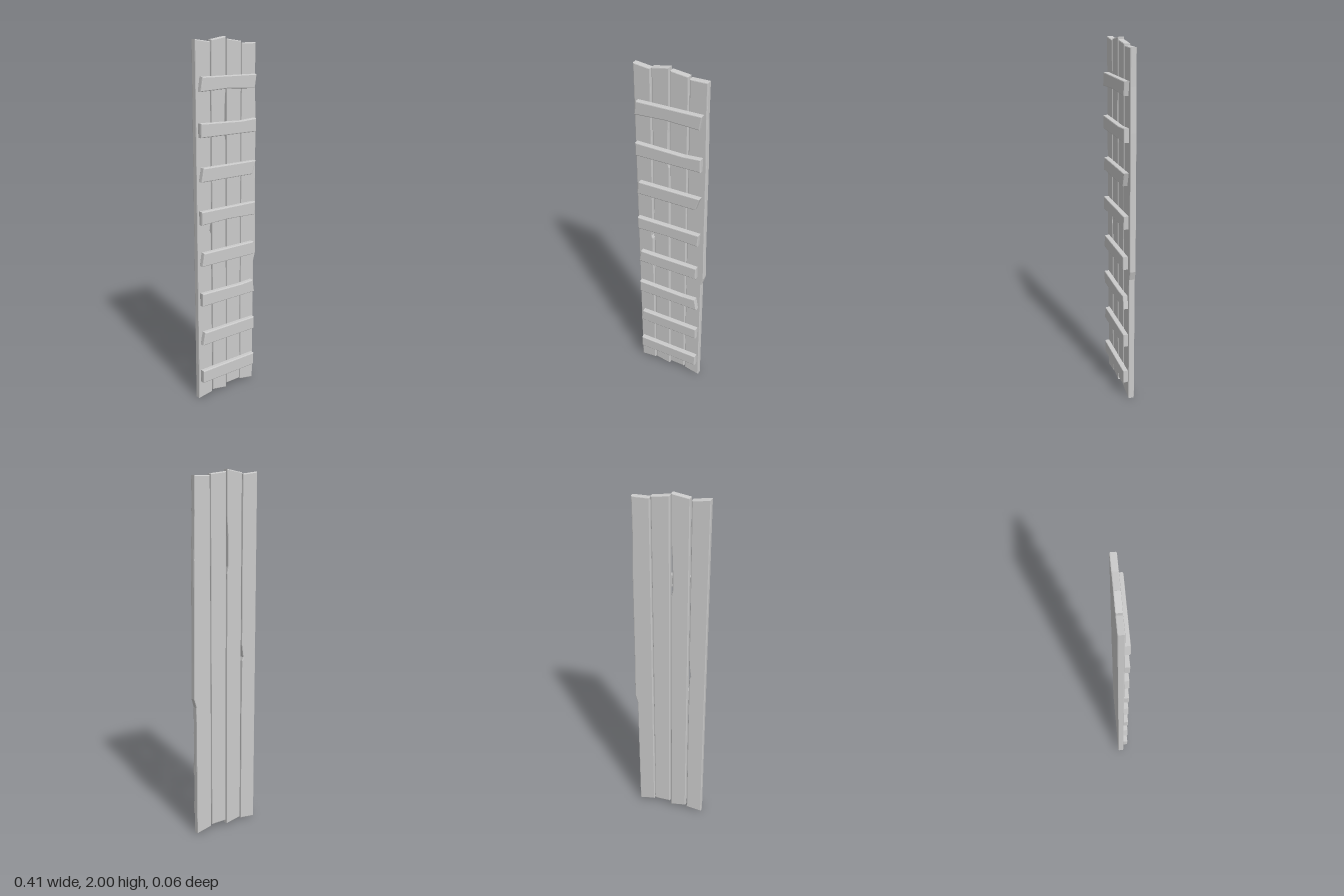
import * as THREE from 'three';

const material = new THREE.MeshStandardMaterial({ color: 0xcccccc });

// Board cut from a counter-clockwise [x, y] outline, with softened edges, from z0 to z1
function board(name, outline, z0, z1) {
  const bevel = 0.005;
  const shape = new THREE.Shape(outline.map(([x, y]) => new THREE.Vector2(x, y)));
  const geometry = new THREE.ExtrudeGeometry(shape, {
    depth: z1 - z0 - 2 * bevel,
    bevelEnabled: true,
    bevelThickness: bevel,
    bevelSize: bevel,
    bevelOffset: -bevel,
    bevelSegments: 2,
  });
  geometry.translate(0, 0, z0 + bevel);
  const mesh = new THREE.Mesh(geometry, material);
  mesh.name = name;
  return mesh;
}

export function createModel() {
  const group = new THREE.Group();
  group.name = 'plankPanel';

  // Four long upright planks with uneven ends and worn edges
  const planks = [
    [[-0.205, 0], [-0.112, 0.012], [-0.112, 0.64], [-0.114, 0.97], [-0.122, 0.99],
      [-0.112, 1.06], [-0.112, 1.976], [-0.205, 1.988]],
    [[-0.105, 0.022], [-0.011, 0.005], [-0.011, 1.46], [-0.019, 1.5], [-0.017, 1.66],
      [-0.011, 1.76], [-0.011, 2], [-0.105, 1.984]],
    [[-0.004, 0.03], [0.091, 0.03], [0.091, 1.976], [-0.004, 1.988]],
    [[0.096, 0.022], [0.19, 0.003], [0.19, 0.75], [0.204, 0.8], [0.2, 1.0],
      [0.196, 1.55], [0.19, 1.78], [0.19, 1.967], [0.096, 1.967]],
  ];
  planks.forEach((outline, i) => group.add(board(`plank${i + 1}`, outline, -0.031, 0.003)));

  // Eight cross slats: base height, left and right insets [bottom, top], optional mid sag
  const slats = [
    { y: 0.105, left: [0, 0], right: [0, 0] },
    { y: 0.338, left: [0, 0.014], right: [0, 0] },
    { y: 0.572, left: [0, 0], right: [0, 0.013], sagTop: -0.005 },
    { y: 0.803, left: [0, 0.013], right: [0.01, 0.01] },
    { y: 1.035, left: [0, 0], right: [0.005, 0], sagBottom: 0.007 },
    { y: 1.268, left: [0, 0.014], right: [0.024, 0] },
    { y: 1.5, left: [0, 0], right: [0, 0], sagTop: -0.007 },
    { y: 1.732, left: [0, 0.012], right: [0.012, 0], sagBottom: 0.008 },
  ];
  const x0 = -0.193, x1 = 0.177, height = 0.074;
  slats.forEach(({ y, left, right, sagTop = 0, sagBottom = 0 }, i) => {
    const outline = [
      [x0 + left[0], y], [-0.02, y + sagBottom], [x1 - right[0], y],
      [x1 - right[1], y + height], [0.08, y + height + sagTop], [x0 + left[1], y + height],
    ];
    group.add(board(`crossSlat${i + 1}`, outline, -0.001, 0.03));
  });

  return group;
}
